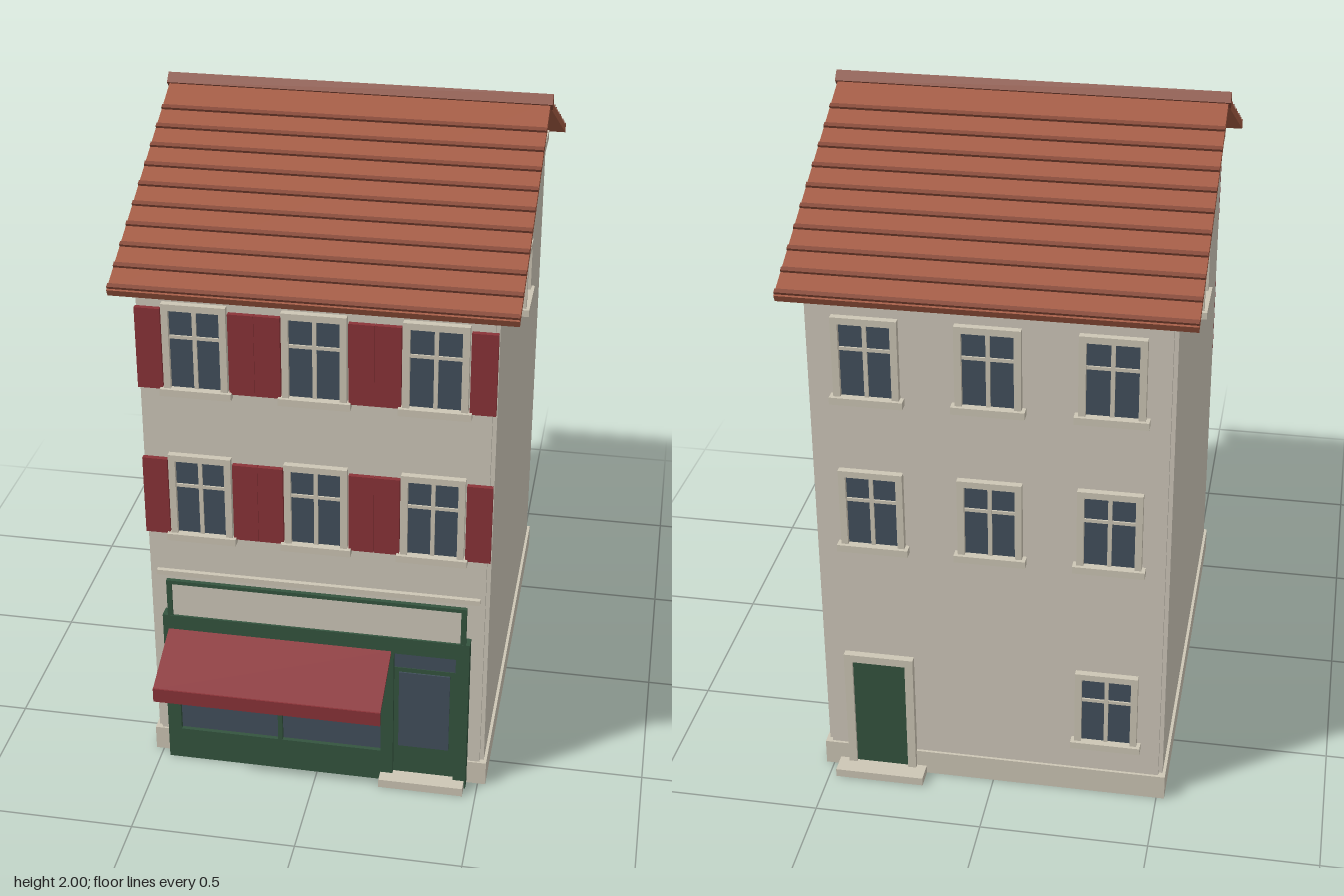
import * as THREE from 'three';

const mat = (name, color) => {
  const m = new THREE.MeshStandardMaterial({ color });
  m.name = name;
  return m;
};

export function createModel() {
  const wall = mat('plaster', 0xcfc8ba), trim = mat('stone trim', 0xcdc6b5);
  const tile = mat('roof tile', 0xa35a42), tileDark = mat('dark roof tile', 0x854735);
  const red = mat('red paint', 0x8a3338), green = mat('green paint', 0x34543f);
  const glass = mat('glass', 0x42505c);

  const house = new THREE.Group();
  house.name = 'townHouse';
  const FRONT = 0.612, BACK = -0.775, MID = -0.0815, SIDE = 0.515;

  // Box given by its lower and upper limits on each axis
  const box = (parent, name, m, x0, x1, y0, y1, z0, z1) => {
    const mesh = new THREE.Mesh(new THREE.BoxGeometry(x1 - x0, y1 - y0, z1 - z0), m);
    mesh.position.set((x0 + x1) / 2, (y0 + y1) / 2, (z0 + z1) / 2);
    mesh.name = name;
    parent.add(mesh);
    return mesh;
  };
  const group = (name, x, y, z, turn = 0) => {
    const g = new THREE.Group();
    g.name = name;
    g.position.set(x, y, z);
    g.rotation.y = turn;
    house.add(g);
    return g;
  };
  // Surround of two posts and a head around an opening that faces +z
  const surround = (g, w, h, t, d) => {
    for (const s of [-1, 1]) {
      const x = s * (w + t / 2);
      box(g, 'framePost', trim, x - t / 2, x + t / 2, 0, h, 0, d);
    }
    box(g, 'frameHead', trim, -w - t, w + t, h, h + t, 0, d);
  };

  // Walls: core, flank walls, plinth and cornice
  box(house, 'wallCore', wall, -0.503, 0.503, 0, 1.62, BACK, FRONT);
  for (const s of [-1, 1]) {
    const x = s * 0.509;
    box(house, 'flankWall', wall, x - 0.006, x + 0.006, 0, 1.62, BACK + 0.013, FRONT - 0.012);
  }
  box(house, 'plinth', trim, -0.524, 0.524, 0, 0.08, BACK - 0.008, FRONT + 0.006);
  box(house, 'cornice', trim, -0.523, 0.523, 1.598, 1.63, BACK - 0.008, FRONT + 0.008);

  // Gable prism between the flank walls
  const gableShape = new THREE.Shape([
    new THREE.Vector2(-0.69, 1.62), new THREE.Vector2(0.69, 1.62),
    new THREE.Vector2(0.69, 1.638), new THREE.Vector2(0, 1.958), new THREE.Vector2(-0.69, 1.638),
  ]);
  const gable = new THREE.Mesh(
    new THREE.ExtrudeGeometry(gableShape, { depth: 2 * SIDE, bevelEnabled: false }), wall);
  gable.rotation.y = Math.PI / 2;
  gable.position.set(-SIDE, 0, MID);
  gable.name = 'gable';
  house.add(gable);

  // Roof: two slopes with raised tile courses
  const RUN = 0.763, RISE = 0.355, LEN = Math.hypot(RUN, RISE), PITCH = Math.atan2(RISE, RUN);
  for (const turn of [0, Math.PI]) {
    const side = group('roofSide', 0, 1.98, MID, turn);
    const slope = new THREE.Group();
    slope.name = 'roofSlope';
    slope.rotation.x = PITCH;
    side.add(slope);
    box(slope, 'roofSlab', tile, -0.573, 0.573, -0.022, 0, 0, LEN);
    for (let i = 1; i <= 10; i++) {
      const z = (0.115 + 0.0708 * (i - 1)) / Math.cos(PITCH);
      box(slope, 'tileCourse', tileDark, -0.573, 0.573, -0.002, 0.008, z - 0.008, z + 0.006);
    }
  }
  const ridge = box(house, 'ridgeCap', tileDark, -0.58, 0.58, 1.957, 1.992, MID - 0.0175, MID + 0.0175);
  ridge.rotation.x = Math.PI / 4;
  ridge.position.y = 1.975;

  // Windows: glass, casement bars, surround and sill
  const addWindow = (name, x, y, z, turn, w, h, bars) => {
    const g = group(name, x, y, z, turn);
    box(g, 'pane', glass, -w, w, 0, h, 0, 0.006);
    surround(g, w, h, 0.02, 0.02);
    box(g, 'sill', trim, -w - 0.031, w + 0.031, -0.018, 0.004, 0, 0.03);
    if (bars) {
      box(g, 'mullion', trim, -0.006, 0.006, 0, h, 0, 0.012);
      box(g, 'transom', trim, -w, w, h * 0.66 - 0.005, h * 0.66 + 0.005, 0, 0.011);
    }
    return g;
  };
  for (const y of [0.818, 1.303]) {
    for (const x of [-0.343, 0, 0.343]) {
      const g = addWindow('frontWindow', x, y, FRONT, 0, 0.073, 0.248, true);
      for (const s of [-1, 1]) {
        const c = s * 0.134;
        box(g, 'shutter', red, c - 0.037, c + 0.037, -0.002, 0.25, 0.001, 0.016);
      }
      addWindow('backWindow', x, y - 0.003, BACK, Math.PI, 0.073, 0.228, true);
    }
  }
  addWindow('backGroundWindow', -0.343, 0.19, BACK, Math.PI, 0.073, 0.228, true);
  for (const s of [-1, 1]) {
    addWindow('gableWindow', s * SIDE, 1.335, MID, s * Math.PI / 2, 0.06, 0.148, false);
  }

  // Back door with its step
  const back = group('backDoor', 0.343, 0, BACK, Math.PI);
  box(back, 'doorLeaf', green, -0.08, 0.08, 0.025, 0.4, 0, 0.012);
  surround(back, 0.08, 0.4, 0.025, 0.022);
  box(back, 'backStep', trim, -0.135, 0.135, 0, 0.026, 0, 0.07);

  // Shopfront: green panel with openings, glazing set behind
  const shop = group('shopfront', 0, 0, FRONT);
  const rect = (P, x0, x1, y0, y1) => new P([
    new THREE.Vector2(x0, y0), new THREE.Vector2(x1, y0),
    new THREE.Vector2(x1, y1), new THREE.Vector2(x0, y1),
  ].map((v) => v));
  const panelShape = rect(THREE.Shape, -0.472, 0.465, 0, 0.535);
  const openings = [
    [-0.43, -0.122, 0.11, 0.48], [-0.108, 0.2, 0.11, 0.48], [0.238, 0.425, 0.02, 0.48],
  ];
  for (const o of openings) panelShape.holes.push(rect(THREE.Path, ...o));
  const panel = new THREE.Mesh(
    new THREE.ExtrudeGeometry(panelShape, { depth: 0.037, bevelEnabled: false }), green);
  panel.name = 'shopPanel';
  shop.add(panel);
  for (const [x0, x1, y0, y1] of openings.slice(0, 2)) {
    box(shop, 'shopGlass', glass, x0, x1, y0, y1, 0, 0.024);
  }
  box(shop, 'shopDoor', green, 0.238, 0.425, 0.02, 0.42, 0, 0.022);
  box(shop, 'doorGlass', glass, 0.253, 0.408, 0.13, 0.405, 0.02, 0.026);
  box(shop, 'doorTransomGlass', glass, 0.238, 0.425, 0.42, 0.48, 0, 0.02);
  box(shop, 'frontStep', trim, 0.2, 0.46, 0, 0.028, 0, 0.076);

  // Blank fascia board with green edging, and the moulding above
  box(shop, 'fascia', wall, -0.44, 0.437, 0.53, 0.65, 0.024, 0.03);
  for (const x of [-0.448, 0.445]) {
    box(shop, 'fasciaPost', green, x - 0.008, x + 0.008, 0.53, 0.66, 0.023, 0.036);
  }
  box(shop, 'fasciaTop', green, -0.456, 0.453, 0.648, 0.66, 0.023, 0.036);
  box(shop, 'moulding', trim, -0.49, 0.488, 0.664, 0.68, 0, 0.014);

  // Awning: sloping sheet with a hanging valance
  const awning = group('awning', 0, 0.487, 0.648);
  const sheet = new THREE.Group();
  sheet.name = 'awningSlope';
  sheet.rotation.x = Math.atan2(0.082, 0.2);
  awning.add(sheet);
  box(sheet, 'awningSheet', red, -0.455, 0.23, -0.007, 0, 0, 0.217);
  box(awning, 'valance', red, -0.455, 0.23, -0.127, -0.081, 0.195, 0.202);

  return house;
}
